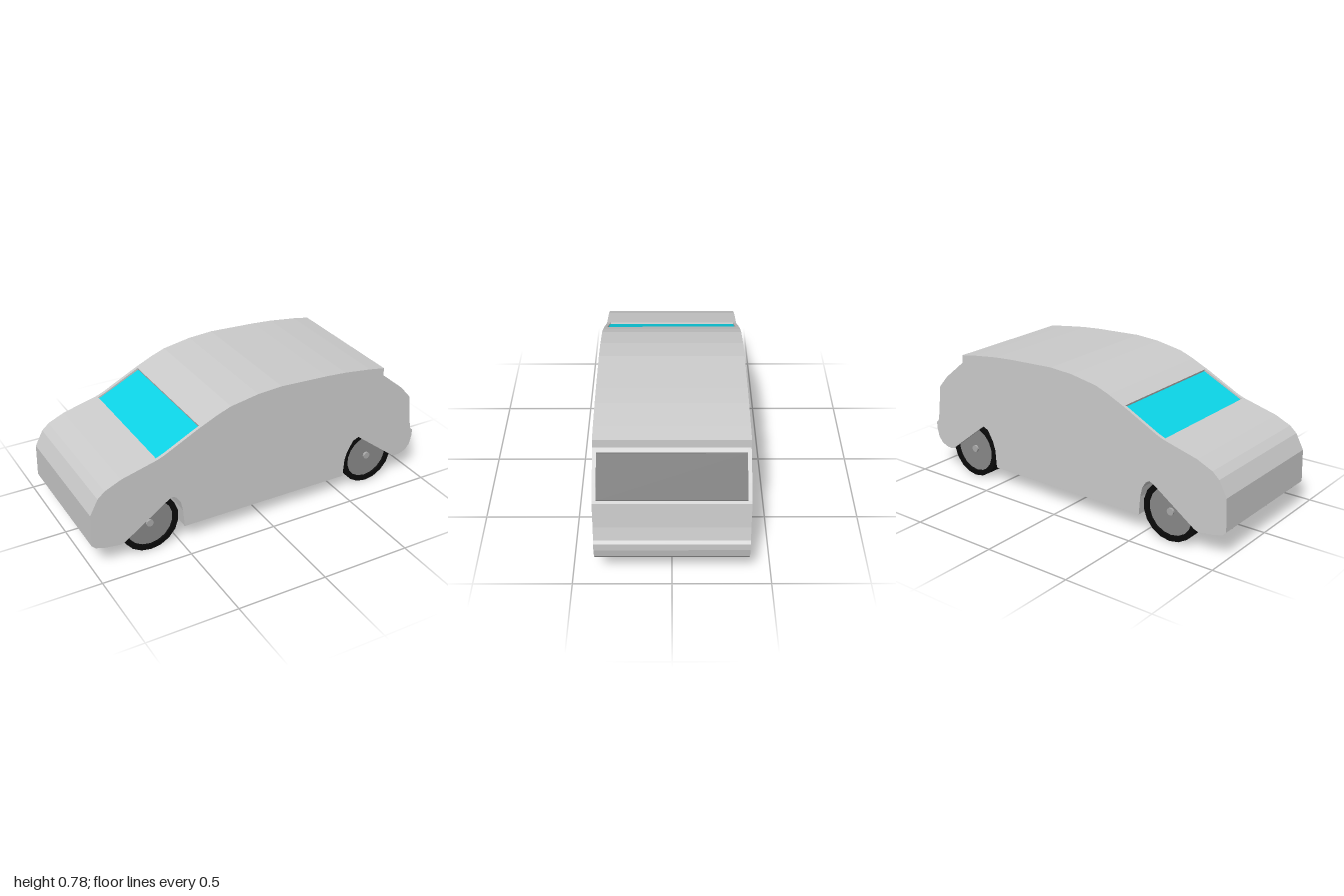
import * as THREE from 'three';

const GREY = 0xcccccc;

// Side outline in x/y, nose at -x; the two window stretches are separate so they can be recessed
const under = [
  [-1, 0.155], [-0.98, 0.135], [-0.93, 0.12], [-0.84, 0.108], [-0.815, 0.118],
  [-0.565, 0.292], [-0.54, 0.302], [-0.52, 0.29], [-0.497, 0.255], [-0.485, 0.2], [-0.477, 0.097],
  [0.522, 0.097], [0.529, 0.2], [0.545, 0.25], [0.58, 0.31], [0.615, 0.325],
  [0.865, 0.131], [0.88, 0.125], [0.915, 0.127], [0.955, 0.142], [0.983, 0.175], [0.995, 0.225],
  [0.997, 0.265], [0.982, 0.277], [0.967, 0.35], [0.955, 0.488],
];
const rearBulge = [[0.946, 0.5], [0.89, 0.565], [0.775, 0.66]];
const roof = [
  [0.755, 0.676], [0.755, 0.72], [0.66, 0.736], [0.5, 0.756], [0.38, 0.765], [0.1, 0.777],
  [-0.04, 0.768], [-0.2, 0.74], [-0.28, 0.71],
];
const frontSlope = [[-0.375, 0.667], [-0.4, 0.655], [-0.58, 0.564], [-0.62, 0.548]];
const bonnet = [[-0.82, 0.495], [-0.91, 0.455], [-0.95, 0.42], [-0.995, 0.335]];

// Floors of the window recesses
const rearFloor = [[0.934, 0.488], [0.765, 0.646]];
const frontFloor = [[-0.371, 0.652], [-0.615, 0.534]];
const recess = (edge, floor) => [edge[0], ...floor, edge[edge.length - 1]];

// Extrude an x/y outline from z0 to z1
function slab(name, points, z0, z1, color = GREY) {
  const shape = new THREE.Shape(points.map(([x, y]) => new THREE.Vector2(x, y)));
  const geometry = new THREE.ExtrudeGeometry(shape, { depth: z1 - z0, bevelEnabled: false });
  geometry.translate(0, 0, z0);
  const mesh = new THREE.Mesh(geometry, new THREE.MeshStandardMaterial({ color }));
  mesh.name = name;
  return mesh;
}

// Thin pane lying on a recess floor
function pane(name, [a, b], color, halfWidth) {
  const lift = ([x, y]) => [x, y + 0.005];
  return slab(name, [a, lift(a), lift(b), b], -halfWidth, halfWidth, color);
}

// Wheel with its outer face towards +z
function makeWheel(name) {
  const wheel = new THREE.Group();
  wheel.name = name;
  const R = 0.163, rim = 0.133, h = 0.0475, sides = 18;
  const add = (part, geometry, color, z) => {
    geometry.rotateX(Math.PI / 2);
    const mesh = new THREE.Mesh(geometry, new THREE.MeshStandardMaterial({ color, flatShading: true }));
    mesh.name = part;
    mesh.position.z = z;
    wheel.add(mesh);
  };
  const profile = [[0, -h], [R, -h], [R, h], [rim, h], [rim, h - 0.015]];
  add('tyre', new THREE.LatheGeometry(profile.map(([x, y]) => new THREE.Vector2(x, y)), sides), 0x0a0a0a, 0);
  add('wheelDisc', new THREE.CylinderGeometry(rim, rim, 0.02, sides), 0x888888, h - 0.022);
  add('hub', new THREE.CylinderGeometry(0.02, 0.02, 0.012, 12), 0xaaaaaa, h - 0.006);
  return wheel;
}

export function createModel() {
  const car = new THREE.Group();
  car.name = 'car';

  // Body: full outline at both sides, recessed outline in between
  const W = 0.385, inner = 0.366;
  const full = [...under, ...rearBulge, ...roof, ...frontSlope, ...bonnet];
  const middle = [...under, ...recess(rearBulge, rearFloor), ...roof, ...recess(frontSlope, frontFloor), ...bonnet];
  car.add(
    slab('bodyMiddle', middle, -inner, inner),
    slab('bodySideNear', full, inner, W),
    slab('bodySideFar', full, -W, -inner),
  );

  // Glass
  car.add(
    pane('windscreen', frontFloor, 0x0cd4e6, inner),
    pane('rearWindow', rearFloor, 0x5e5e5e, inner),
  );

  // Wheels
  for (const [axle, x] of [['front', -0.663], ['rear', 0.702]]) {
    for (const [side, z] of [['Near', 0.3125], ['Far', -0.3275]]) {
      const wheel = makeWheel(axle + 'Wheel' + side);
      wheel.position.set(x, 0.163, z);
      if (z < 0) wheel.rotation.y = Math.PI;
      car.add(wheel);
    }
  }
  return car;
}
